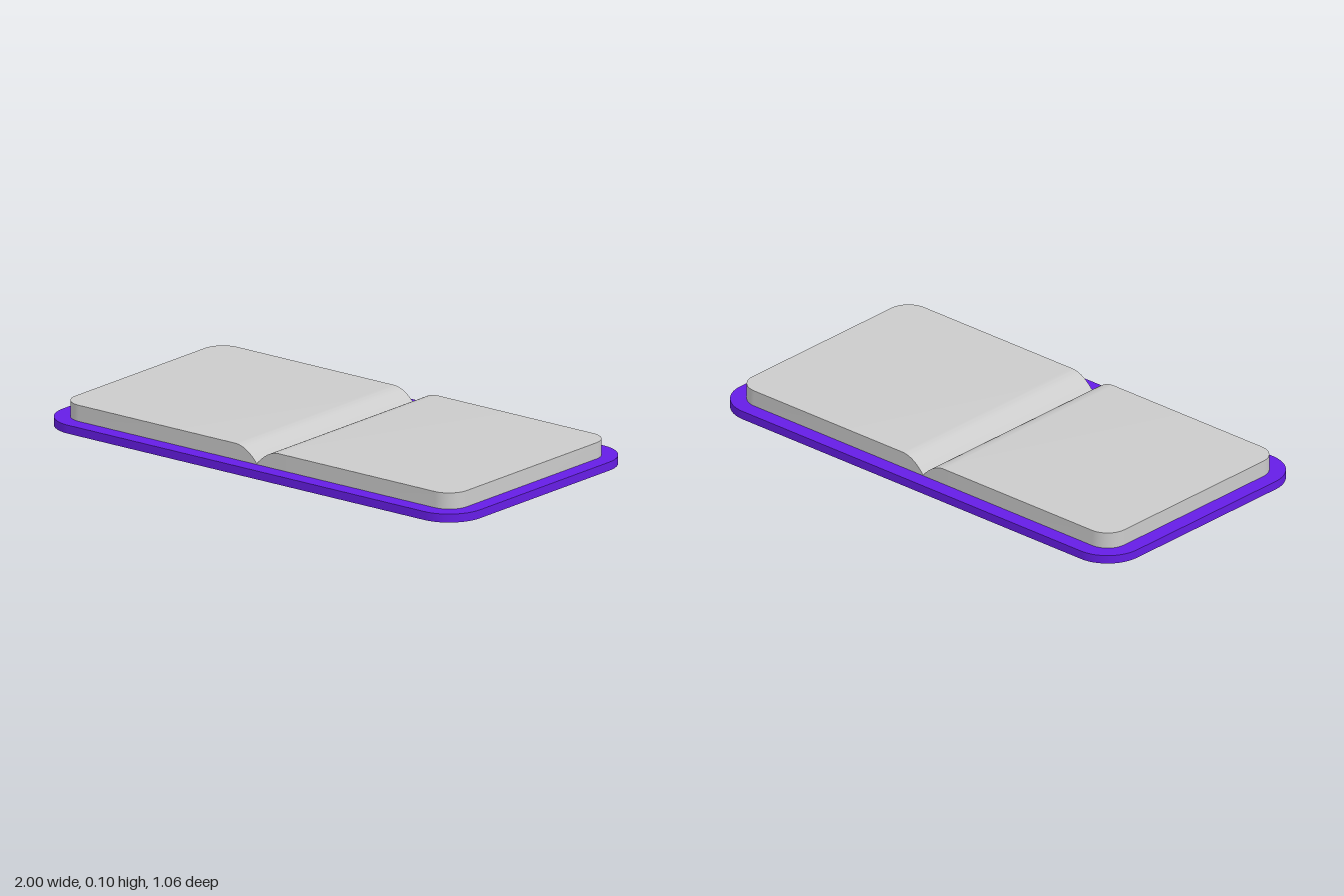
import * as THREE from 'three';
import { toCreasedNormals } from 'three/addons/utils/BufferGeometryUtils.js';

const BASE = { x: 1, z: 0.53, r: 0.148, h: 0.033 };
const PAGE = { x: 0.9375, z: 0.468, r: 0.085, top: 0.096 };
const GROOVE = { half: 0.105, bottom: 0.036 };

function roundedRect(hx, hz, r) {
  const s = new THREE.Shape();
  s.absarc(hx - r, hz - r, r, 0, Math.PI / 2);
  s.absarc(-hx + r, hz - r, r, Math.PI / 2, Math.PI);
  s.absarc(-hx + r, -hz + r, r, Math.PI, Math.PI * 1.5);
  s.absarc(hx - r, -hz + r, r, Math.PI * 1.5, Math.PI * 2);
  s.closePath();
  return s;
}

// Flat cover plate with rounded corners
function coverGeometry() {
  const geo = new THREE.ExtrudeGeometry(roundedRect(BASE.x, BASE.z, BASE.r), {
    depth: BASE.h, bevelEnabled: false, curveSegments: 16,
  });
  geo.rotateX(-Math.PI / 2);
  return toCreasedNormals(geo, 0.5);
}

// Page block: rectangular sections along x, lowered at the spine and narrowed at the corners
function pagesGeometry() {
  const half = []; // [x, height, half depth] from the spine outwards
  const curve = new THREE.QuadraticBezierCurve(
    new THREE.Vector2(0, GROOVE.bottom),
    new THREE.Vector2(0.05, PAGE.top),
    new THREE.Vector2(GROOVE.half, PAGE.top));
  for (const p of curve.getPoints(14)) half.push([p.x, p.y, PAGE.z]);
  for (let i = 0; i <= 14; i++) {
    const a = (i / 14) * Math.PI / 2;
    half.push([
      PAGE.x - PAGE.r + PAGE.r * Math.sin(a),
      PAGE.top,
      PAGE.z - PAGE.r + PAGE.r * Math.cos(a),
    ]);
  }
  const mirrored = half.slice(1).reverse().map(([x, h, d]) => [-x, h, d]);
  const stations = [...mirrored, ...half];

  const pos = [], idx = [];
  for (const [x, h, d] of stations) {
    pos.push(x, BASE.h, d, x, h, d, x, h, -d, x, BASE.h, -d);
  }
  for (let i = 0; i < stations.length - 1; i++) {
    for (let k = 0; k < 4; k++) {
      const a = i * 4 + k, b = i * 4 + (k + 1) % 4;
      idx.push(a, a + 4, b + 4, a, b + 4, b);
    }
  }
  // Flat ends
  const e = (stations.length - 1) * 4;
  idx.push(0, 1, 2, 0, 2, 3, e, e + 3, e + 2, e, e + 2, e + 1);

  const geo = new THREE.BufferGeometry();
  geo.setAttribute('position', new THREE.Float32BufferAttribute(pos, 3));
  geo.setIndex(idx);
  return toCreasedNormals(geo, 0.5);
}

export function createModel() {
  const group = new THREE.Group();
  group.name = 'openBook';

  const cover = new THREE.Mesh(coverGeometry(), new THREE.MeshStandardMaterial({ color: 0x661de6 }));
  cover.name = 'cover';

  const pages = new THREE.Mesh(pagesGeometry(), new THREE.MeshStandardMaterial({ color: 0xcccccc }));
  pages.name = 'pages';

  group.add(cover, pages);
  return group;
}
